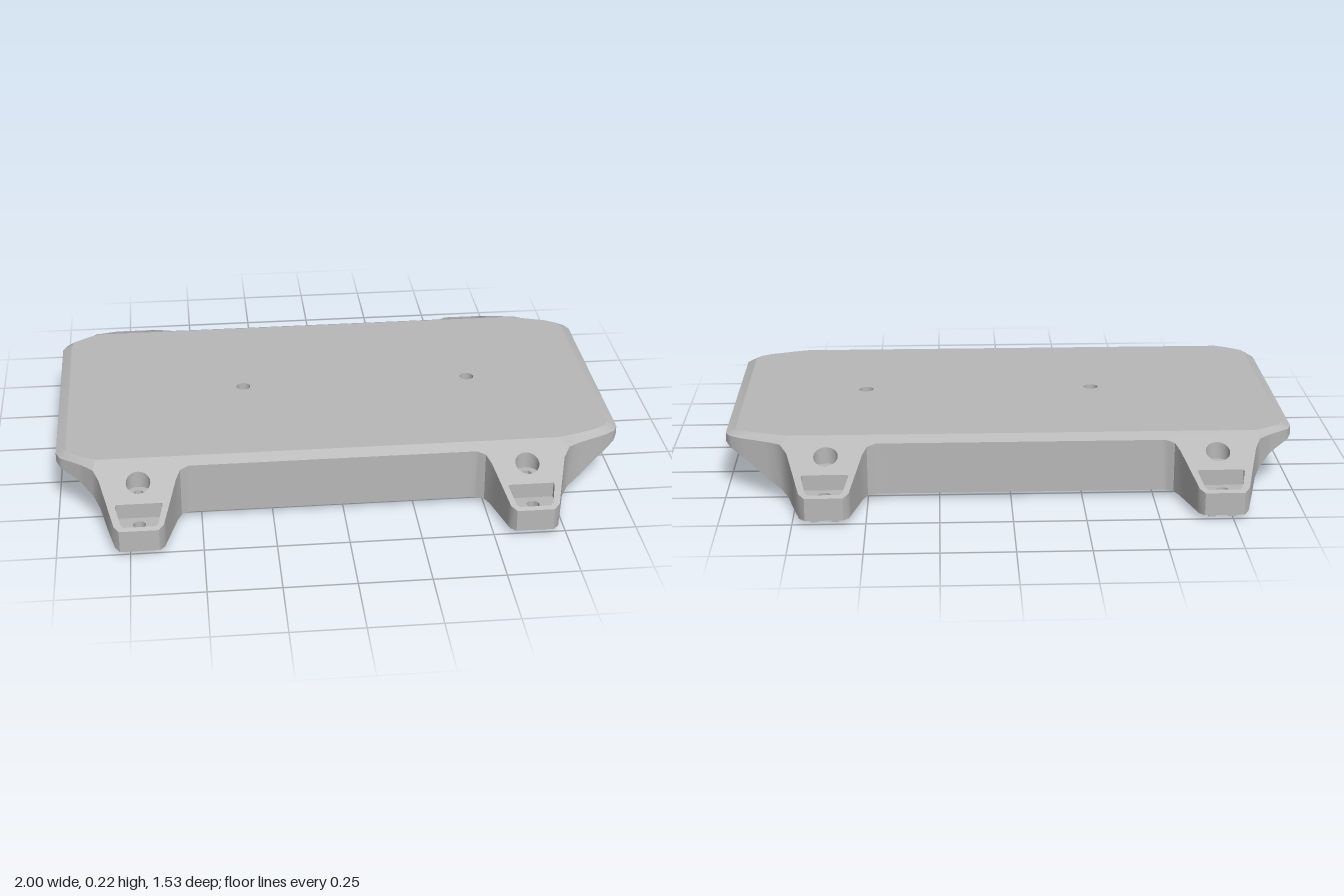
import * as THREE from 'three';
import { toCreasedNormals } from 'three/addons/utils/BufferGeometryUtils.js';

const TOP = 0.225, BASE = 0.02, BEND = 0.49, HALF = 0.53;
const LEGS = [-0.715, 0.64];      // leg centres along x
const BOLTS = [-0.32, 0.52];      // through holes in the plate

// Half-width of the plan outline, including the legs
const OUTLINE = [
  [-1, 0.4], [-0.985, 0.435], [-0.91, 0.49], [-0.87, 0.53], [-0.85, 0.57], [-0.802, 0.745], [-0.785, 0.765],
  [-0.65, 0.765], [-0.632, 0.745], [-0.585, 0.58], [-0.57, 0.545], [-0.54, HALF],
  [0.47, HALF], [0.5, 0.545], [0.515, 0.58], [0.556, 0.745], [0.575, 0.765],
  [0.705, 0.765], [0.725, 0.745], [0.775, 0.57], [0.8, 0.53], [0.84, 0.505], [0.95, 0.455], [0.985, 0.43], [1, 0.4],
];

// Underside height along x, at the middle and near the side edges of each end
const RISE = {
  right: { mid: [[0.47, BASE], [0.8, 0.1], [0.9, 0.14], [1, 0.175]],
    edge: [[0.74, BASE], [0.78, 0.03], [0.85, 0.07], [0.92, 0.125], [1, 0.175]] },
  left: { mid: [[0.6, BASE], [0.8, 0.07], [0.9, 0.135], [1, 0.175]],
    edge: [[0.79, BASE], [0.82, 0.04], [0.86, 0.09], [0.92, 0.14], [1, 0.175]] },
};

function sample(points, x) {
  if (x <= points[0][0]) return points[0][1];
  for (let i = 1; i < points.length; i++) {
    const [x0, y0] = points[i - 1], [x1, y1] = points[i];
    if (x <= x1) return y0 + (y1 - y0) * (x - x0) / (x1 - x0);
  }
  return points[points.length - 1][1];
}

const width = (x) => sample(OUTLINE, x);
const slope = (x, z) => TOP - 0.455 * (Math.abs(z) - BEND);
const rim = (x, z) => slope(x, Math.max(Math.abs(z), HALF));

function under(x, z) {
  const end = x > 0 ? RISE.right : RISE.left, ax = Math.abs(x), az = Math.abs(z);
  const t = THREE.MathUtils.smoothstep(az, 0.25, 0.45);
  const y = sample(end.mid, ax) * (1 - t) + sample(end.edge, ax) * t;
  // finger groove beneath each end lip
  return ax > 0.902 && az < 0.302 ? Math.max(y, 0.172) : y;
}

const v2 = (x, z) => new THREE.Vector2(x, z);
const heightOf = (y, x, z) => (typeof y === 'function' ? y(x, z) : y);

function circle(cx, cz, r, n = 24) {
  return Array.from({ length: n }, (_, i) => {
    const a = i / n * Math.PI * 2;
    return v2(cx + r * Math.cos(a), cz + r * Math.sin(a));
  });
}

const rect = (cx, cz, hx, hz) =>
  [v2(cx - hx, cz - hz), v2(cx + hx, cz - hz), v2(cx + hx, cz + hz), v2(cx - hx, cz + hz)];

// Flat plan polygon with holes, lifted to a height rule
function face(points, holes, y) {
  const shape = new THREE.Shape(points);
  shape.holes = holes.map((h) => new THREE.Path(h));
  const g = new THREE.ShapeGeometry(shape);
  const p = g.attributes.position;
  for (let i = 0; i < p.count; i++) {
    const x = p.getX(i), z = p.getY(i);
    p.setXYZ(i, x, heightOf(y, x, z), z);
  }
  // turn the face upwards
  g.setIndex([...g.index.array].reverse());
  g.computeVertexNormals();
  return g;
}

// Quads between two rows of 3D points
function strip(a, b) {
  const pos = [], idx = [];
  a.forEach((p, i) => {
    pos.push(...p, ...b[i]);
    if (i) idx.push(2 * i - 2, 2 * i - 1, 2 * i, 2 * i, 2 * i - 1, 2 * i + 1);
  });
  const g = new THREE.BufferGeometry();
  g.setAttribute('position', new THREE.Float32BufferAttribute(pos, 3));
  g.setIndex(idx);
  return toCreasedNormals(g, 0.6);
}

// Vertical wall along a plan path
function wall(path, y0, y1, closed = true) {
  const pts = closed ? [...path, path[0]] : path;
  const row = (y) => pts.map((p) => [p.x, heightOf(y, p.x, p.y), p.y]);
  return strip(row(y0), row(y1));
}

export function createModel() {
  const model = new THREE.Group();
  model.name = 'mountingPlate';
  const grey = new THREE.MeshStandardMaterial({ color: 0xb8b8b8, side: THREE.DoubleSide });
  grey.name = 'plainGrey';

  const add = (name, geometry, mirror = false) => {
    const m = new THREE.Mesh(geometry, grey);
    m.name = name;
    model.add(m);
    if (mirror) {
      const other = m.clone();
      other.scale.z = -1;
      model.add(other);
    }
    return m;
  };

  // Stations along x, including every opening and outline corner
  const xs = [...OUTLINE.map((p) => p[0]), 0.9, 0.904, -0.9, -0.904];
  for (let i = -40; i <= 40; i++) xs.push(i * 0.025);
  LEGS.forEach((x) => xs.push(x - 0.065, x + 0.065));
  BOLTS.forEach((x) => xs.push(x - 0.05, x + 0.05));
  const stations = [...new Set(xs.map((x) => +x.toFixed(4)))].sort((a, b) => a - b);
  const edge = stations.map((x) => v2(x, width(x)));

  // Flat top panel
  const rightIn = [[0.77, 0.49], [0.82, 0.475], [0.91, 0.445], [0.95, 0.42], [0.965, 0.39]];
  const rightOut = [[0.8, 0.53], [0.84, 0.505], [0.95, 0.455], [0.985, 0.43], [1, 0.4]];
  const leftIn = [[-0.86, 0.49], [-0.9, 0.47], [-0.955, 0.43], [-0.965, 0.39]];
  const leftOut = [[-0.87, 0.53], [-0.91, 0.49], [-0.985, 0.435], [-1, 0.4]];
  const mirrored = (list) => [...list, ...[...list].reverse().map(([x, z]) => [x, -z])];
  const panel = [...mirrored(rightIn), ...mirrored(leftIn).reverse()].map((p) => v2(...p));
  add('topPanel', face(panel, BOLTS.map((x) => circle(x, 0, 0.026)), TOP));

  // Chamfers around both ends
  for (const [inner, outer] of [[rightIn, rightOut], [leftIn, leftOut]]) {
    add('endChamfer', strip(mirrored(inner).map(([x, z]) => [x, TOP, z]),
      mirrored(outer).map(([x, z]) => [x, rim(x, z), z])));
  }

  // Sloping sides and legs, with screw bores and pockets
  const bores = LEGS.map((x) => circle(x, 0.585, 0.042));
  const pockets = LEGS.map((x) => [v2(x - 0.078, 0.665), v2(x + 0.078, 0.665), v2(x + 0.08, 0.675),
    v2(x + 0.064, 0.74), v2(x + 0.054, 0.75), v2(x - 0.054, 0.75), v2(x - 0.064, 0.74), v2(x - 0.08, 0.675)]);
  const sideEdge = edge.filter((p) => p.x >= -0.87 && p.x <= 0.8);
  add('sideSlope', face([v2(-0.86, BEND), ...sideEdge, v2(0.77, BEND)], [...bores, ...pockets], slope), true);

  // Outer walls
  add('sideWall', wall(edge, rim, under, false), true);
  for (const x of [-1, 1]) {
    add('endWall', wall([v2(x, -0.4), v2(x, 0.4)], rim, under, false));
  }

  // Underside, leaving out the cells that hold openings
  const zs = [0, 0.05, 0.1, 0.15, 0.2, 0.25, 0.3, 0.304, 0.33, 0.36, 0.4, 0.425, 0.45, 0.5, 0.55, 0.68, 0.74, 0.765];
  const openings = [
    ...BOLTS.map((x) => [x, 0, 0.05, 0.05]),
    ...LEGS.map((x) => [x, 0.5, 0.065, 0.05]),
    ...LEGS.map((x) => [x, 0.71, 0.065, 0.03]),
  ];
  const pos = [], idx = [], nz = zs.length;
  stations.forEach((x, i) => zs.forEach((s, j) => {
    const z = Math.min(s, width(x));
    pos.push(x, under(x, z), z);
    if (!i || !j) return;
    const px = stations[i - 1], mx = (x + px) / 2, mz = (s + zs[j - 1]) / 2;
    if (zs[j - 1] >= Math.max(width(x), width(px))) return;
    if (openings.some(([cx, cz, hx, hz]) => Math.abs(mx - cx) < hx && Math.abs(mz - cz) < hz)) return;
    const d = i * nz + j, c = d - 1, b = d - nz, a = b - 1;
    idx.push(a, d, b, a, c, d);
  }));
  const floor = new THREE.BufferGeometry();
  floor.setAttribute('position', new THREE.Float32BufferAttribute(pos, 3));
  floor.setIndex(idx);
  add('underside', toCreasedNormals(floor, 0.5), true);

  // Through holes in the plate
  for (const x of BOLTS) {
    const hole = circle(x, 0, 0.026);
    add('holeSurround', face(rect(x, 0, 0.05, 0.05), [hole], under));
    add('plateHole', wall(hole, TOP, under));
  }

  LEGS.forEach((x, i) => {
    // Pocket and fixing hole near the leg tip
    const hole = circle(x, 0.71, 0.022);
    add('legPocketWall', wall(pockets[i], slope, 0.09), true);
    add('legPocketFloor', face(pockets[i], [hole], 0.09), true);
    add('legHole', wall(hole, 0.09, BASE), true);
    add('legSole', face(rect(x, 0.71, 0.065, 0.03), [hole], BASE), true);

    // Screw bore with a hexagonal socket
    const socket = circle(x, 0.585, 0.02, 6);
    add('screwBore', wall(bores[i], slope, 0.14), true);
    add('screwHead', face(bores[i], [socket], 0.14), true);
    add('screwSocket', wall(socket, 0.14, 0.115), true);
    add('socketFloor', face(socket, [], 0.115), true);

    // Square recess beneath the leg root
    const recess = rect(x, 0.5, 0.065, 0.05);
    add('recessWall', wall(recess, 0.11, BASE), true);
    add('recessRoof', face(recess, [], 0.11), true);

    // Locating pegs either side of the fixing hole
    for (const dx of [-0.035, 0.035]) {
      const peg = new THREE.BoxGeometry(0.025, 0.02, 0.04);
      peg.translate(x + dx, 0.01, 0.71);
      add('peg', peg, true);
    }
  });
  return model;
}
